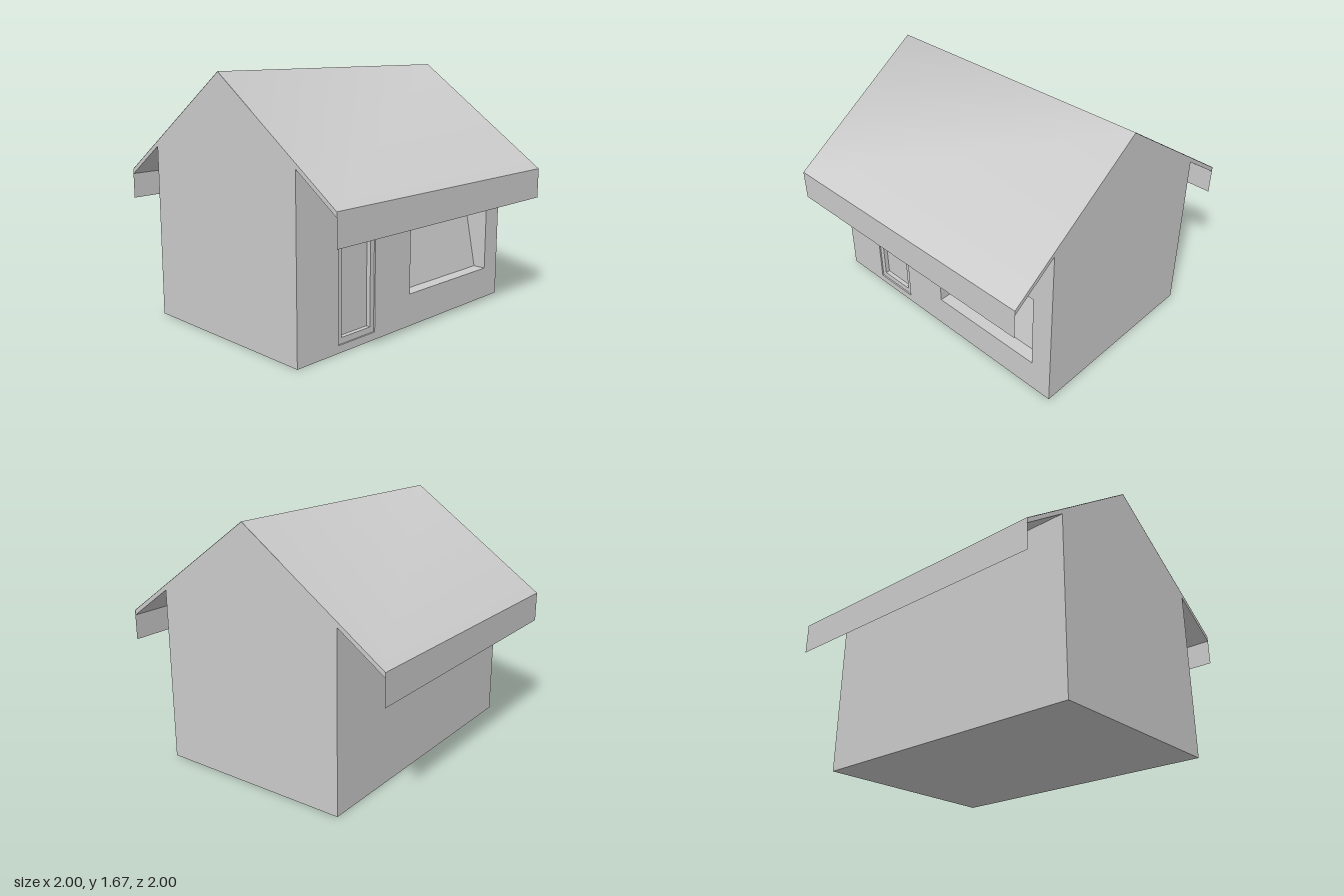
import * as THREE from 'three';

const material = new THREE.MeshStandardMaterial({ color: 0xcccccc });
const thin = new THREE.MeshStandardMaterial({ color: 0xcccccc, side: THREE.DoubleSide });

const SLOPE = 0.7, RIDGE = 1.675, WALL_Z = 0.68, CORE_Z = 0.43;
const underside = z => 1.64 - SLOPE * Math.abs(z);

function rectangle(target, x0, x1, y0, y1) {
  target.moveTo(x0, y0);
  target.lineTo(x1, y0);
  target.lineTo(x1, y1);
  target.lineTo(x0, y1);
  target.closePath();
  return target;
}

// Extrudes a [z, y] profile along the whole width of the house
function acrossWidth(points) {
  const shape = new THREE.Shape(points.map(([z, y]) => new THREE.Vector2(-z, y)));
  const geometry = new THREE.ExtrudeGeometry(shape, { depth: 2, bevelEnabled: false });
  return geometry.translate(0, 0, -1).rotateY(Math.PI / 2);
}

export function createModel() {
  const house = new THREE.Group();
  house.name = 'house';

  function add(name, geometry, mat = material) {
    const mesh = new THREE.Mesh(geometry, mat);
    mesh.name = name;
    house.add(mesh);
    return mesh;
  }

  // Gabled body behind the front wall
  const eave = underside(WALL_Z);
  add('houseBody', acrossWidth([
    [-WALL_Z, 0], [CORE_Z, 0], [CORE_Z, eave], [WALL_Z, eave], [0, underside(0)], [-WALL_Z, eave],
  ]));

  // Front wall with door and window openings
  const wall = rectangle(new THREE.Shape(), -1, 1, 0, eave);
  wall.holes.push(rectangle(new THREE.Path(), -0.665, -0.34, 0.05, 0.755));
  wall.holes.push(rectangle(new THREE.Path(), 0, 0.85, 0.22, 0.755));
  add('frontWall', new THREE.ExtrudeGeometry(wall, { depth: WALL_Z - CORE_Z, bevelEnabled: false }))
    .position.z = CORE_Z;

  // Door frame and recessed door panel
  const frame = rectangle(new THREE.Shape(), -0.665, -0.34, 0.05, 0.755);
  frame.holes.push(rectangle(new THREE.Path(), -0.63, -0.375, 0.09, 0.715));
  add('doorFrame', new THREE.ExtrudeGeometry(frame, { depth: 0.1, bevelEnabled: false }))
    .position.z = 0.57;
  add('doorPanel', new THREE.BoxGeometry(0.26, 0.63, 0.04)).position.set(-0.5025, 0.4025, 0.62);

  // Window pane leaning back at the top
  const pane = add('windowPane', new THREE.PlaneGeometry(0.85, Math.hypot(0.535, 0.11)), thin);
  pane.position.set(0.425, 0.4875, 0.535);
  pane.rotation.x = -Math.atan2(0.11, 0.535);

  // Roof slab, just below its smooth covering
  const edge = 0.998, top = z => RIDGE - 0.002 - SLOPE * Math.abs(z);
  add('roofSlab', acrossWidth([
    [-edge, underside(edge)], [0, underside(0)], [edge, underside(edge)],
    [edge, top(edge)], [0, top(0)], [-edge, top(edge)],
  ]));

  // Covering with a softly shaded ridge
  const cover = new THREE.PlaneGeometry(2, 2, 1, 2).rotateX(-Math.PI / 2);
  const position = cover.attributes.position;
  for (let i = 0; i < position.count; i++) {
    position.setY(i, RIDGE - SLOPE * Math.abs(position.getZ(i)));
  }
  cover.computeVertexNormals();
  add('roofCovering', cover, thin);

  // Thin boards hanging from both eaves
  for (const [name, side] of [['frontFascia', 1], ['backFascia', -1]]) {
    const board = add(name, new THREE.PlaneGeometry(2, 0.205), thin);
    board.position.set(0, 0.8725, side);
    if (side < 0) board.rotation.y = Math.PI;
  }

  return house;
}
